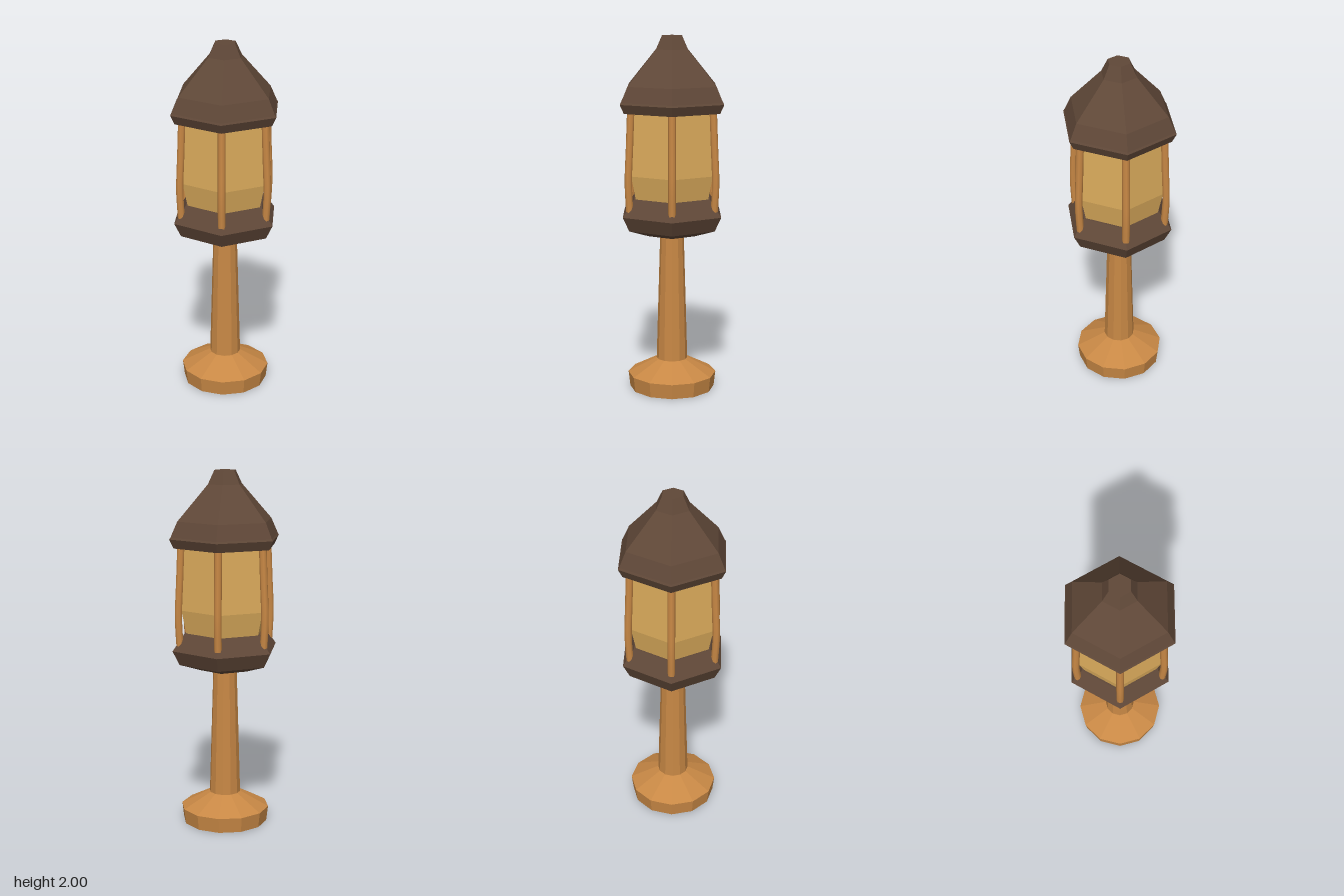
import * as THREE from 'three';

const wood = new THREE.MeshStandardMaterial({ color: 0xc88845 });
wood.name = 'warm wood';
const bark = new THREE.MeshStandardMaterial({ color: 0x604838 });
bark.name = 'dark brown';
const glow = new THREE.MeshStandardMaterial({ color: 0xdcac5c });
glow.name = 'amber glass';

// Faceted turned solid from [radius, y] points, bottom to top, with a corner on +x
function turned(name, sides, profile, material) {
  const points = profile.map(([r, y]) => new THREE.Vector2(r, y));
  const geometry = new THREE.LatheGeometry(points, sides, Math.PI / 2).toNonIndexed();
  geometry.computeVertexNormals();
  const mesh = new THREE.Mesh(geometry, material);
  mesh.name = name;
  return mesh;
}

export function createModel() {
  const group = new THREE.Group();
  group.name = 'lantern post';

  // Foot and tapering post
  group.add(turned('foot', 12, [[0, 0], [0.24, 0], [0.25, 0.085], [0.09, 0.17], [0, 0.17]], wood));
  group.add(turned('post', 12, [[0.088, 0.16], [0.066, 0.91]], wood));

  // Hexagonal tray, glass and roof
  group.add(turned('tray', 6,
    [[0, 0.895], [0.15, 0.895], [0.272, 0.935], [0.312, 1.015], [0.242, 1.11], [0, 1.11]], bark));
  group.add(turned('glass', 6, [[0.228, 1.1], [0.258, 1.24], [0.246, 1.6]], glow));
  group.add(turned('roof', 6,
    [[0, 1.585], [0.3, 1.585], [0.325, 1.635], [0.318, 1.645], [0.278, 1.73],
      [0.1, 1.925], [0.063, 2], [0, 2]], bark));

  // Slightly bowed bars at the six corners
  const path = new THREE.CatmullRomCurve3([
    new THREE.Vector3(0.258, 1.6, 0),
    new THREE.Vector3(0.267, 1.4, 0),
    new THREE.Vector3(0.276, 1.2, 0),
    new THREE.Vector3(0.268, 1.04, 0),
  ]);
  const barGeometry = new THREE.TubeGeometry(path, 8, 0.021, 8);
  const bars = new THREE.Group();
  bars.name = 'bars';
  for (let i = 0; i < 6; i++) {
    const bar = new THREE.Mesh(barGeometry, wood);
    bar.name = 'bar';
    bar.rotation.y = (i * Math.PI) / 3;
    bars.add(bar);
  }
  group.add(bars);
  return group;
}
